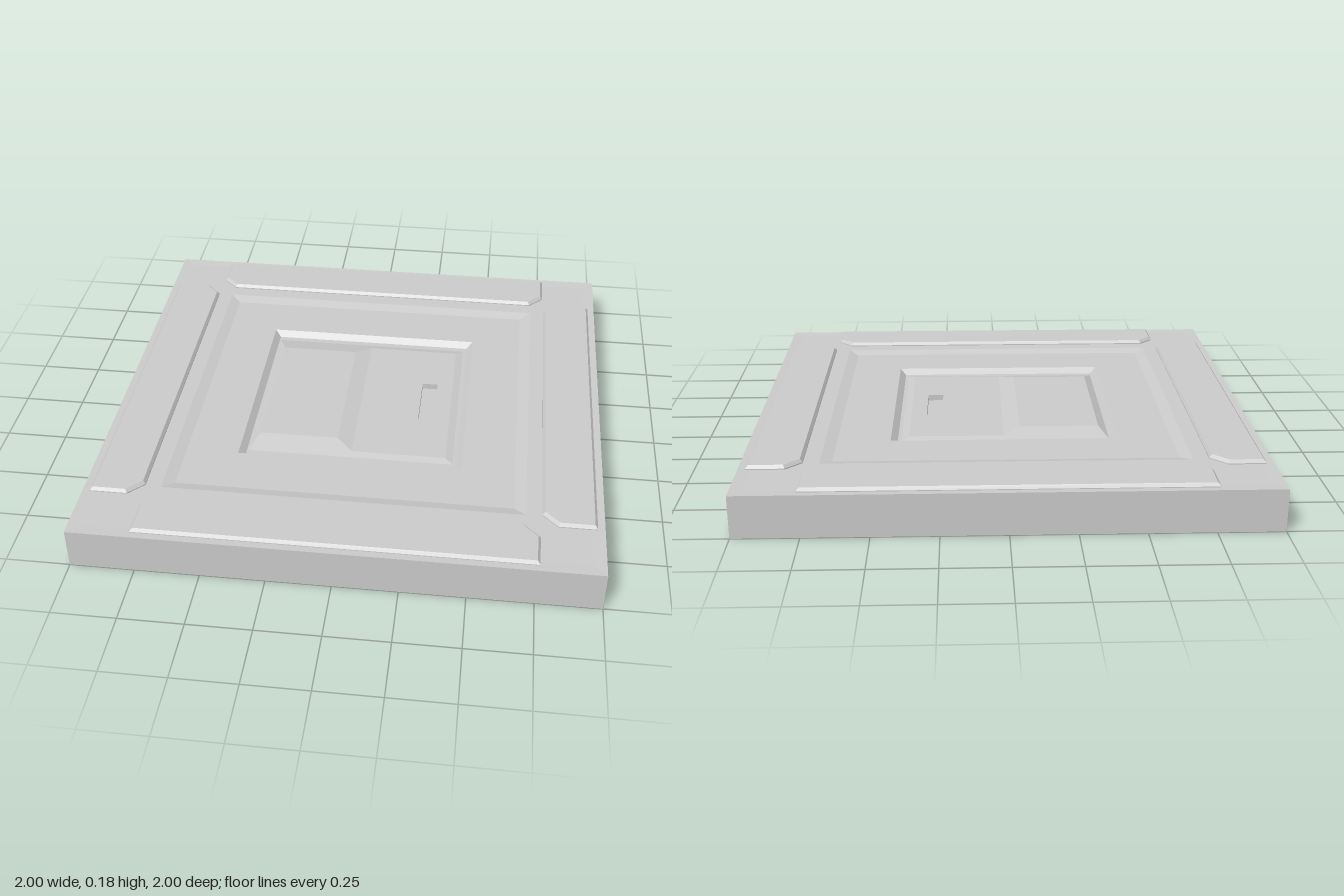
import * as THREE from 'three';

const STEP_A = -0.065, STEP_B = 0; // where the centre panel steps down

// Rectangular loop, clockwise seen from above
const rect = (x0, x1, z0, z1, y) => [[x0, y, z0], [x1, y, z0], [x1, y, z1], [x0, y, z1]];
const square = (s, y) => rect(-s, s, -s, s, y);

// Flat-shaded surface joining successive loops, from the outside in
function loft(loops, { cap = false, base = false } = {}) {
  const pos = [];
  const tri = (a, b, c) => pos.push(...a, ...b, ...c);
  for (let k = 0; k + 1 < loops.length; k++) {
    const a = loops[k], b = loops[k + 1], n = a.length;
    for (let i = 0; i < n; i++) {
      const j = (i + 1) % n;
      tri(a[i], b[i], a[j]);
      tri(a[j], b[i], b[j]);
    }
  }
  const first = loops[0], last = loops[loops.length - 1];
  if (base) for (let i = 1; i + 1 < first.length; i++) tri(first[0], first[i], first[i + 1]);
  if (cap) for (let i = 1; i + 1 < last.length; i++) tri(last[0], last[i + 1], last[i]);
  const g = new THREE.BufferGeometry();
  g.setAttribute('position', new THREE.Float32BufferAttribute(pos, 3));
  g.computeVertexNormals();
  return g;
}

export function createModel() {
  const model = new THREE.Group();
  model.name = 'floorTile';
  const mat = new THREE.MeshStandardMaterial({ color: 0xcccccc, flatShading: true });
  const add = (geometry, name, parent = model) => {
    const mesh = new THREE.Mesh(geometry, mat);
    mesh.name = name;
    parent.add(mesh);
    return mesh;
  };

  // Slab: walls, rim, shallow recess and the groove round the centre
  const low = 0.13;
  add(loft([
    square(1, 0), square(1, 0.166), square(0.95, 0.164), square(0.705, 0.164),
    square(0.66, 0.152), square(0.45, 0.152), square(0.425, low),
  ], { base: true, cap: true }), 'slab');

  // Centre panel: sloped border, high left part, ramp and low right part
  const panel = new THREE.Group();
  panel.name = 'centrePanel';
  model.add(panel);
  const yHigh = 0.153, yLow = 0.138, zHigh = 0.31, zLow = 0.37;
  const half = (pts) => [...pts, ...pts.map(([x, y, z]) => [x, y, -z]).reverse()];
  const foot = half([-0.42, STEP_A, STEP_B, 0.41].map((x) => [x, low, -0.4]));
  const top = half([
    [-0.385, yHigh, -zHigh], [STEP_A, yHigh, -zHigh], [STEP_B, yLow, -zLow], [0.38, yLow, -zLow],
  ]);
  add(loft([foot, top]), 'panelBorder', panel);
  add(loft([[top[0], top[1], top[6], top[7]]], { cap: true }), 'panelHighSide', panel);
  add(loft([[top[1], top[2], top[5], top[6]]], { cap: true }), 'panelRamp', panel);

  // Low side with the sunken handle slot
  const slot = [0.25, 0.315, -0.125, 0.125];
  add(loft([
    [top[2], top[3], top[4], top[5]], rect(...slot, yLow), rect(...slot, yLow - 0.025),
  ]), 'panelLowSide', panel);
  add(loft([rect(...slot, yLow - 0.025)], { cap: true }), 'slotFloor', panel);

  // Cut an opening in the slab floor by rebuilding it around the slot
  const slab = model.getObjectByName('slab');
  slab.geometry = loft([
    square(1, 0), square(1, 0.166), square(0.95, 0.164), square(0.705, 0.164),
    square(0.66, 0.152), square(0.45, 0.152), square(0.425, low), rect(...slot, low),
  ], { base: true });

  // Four raised edge pads with clipped inner corners and bevelled sides
  const padLoop = (inset, y) => {
    const w = 0.76 - inset, zo = 0.972 - inset, zi = 0.766 + inset, c = 0.06 - inset * 0.4;
    return [[-w, y, -zo], [w, y, -zo], [w, y, -zi - c], [w - c, y, -zi], [-w + c, y, -zi], [-w, y, -zi - c]];
  };
  const padGeometry = loft([padLoop(0, 0.16), padLoop(0, 0.168), padLoop(0.01, 0.18)], { cap: true });
  ['backPad', 'leftPad', 'frontPad', 'rightPad'].forEach((name, i) => {
    add(padGeometry, name).rotation.y = -i * Math.PI / 2;
  });
  return model;
}
